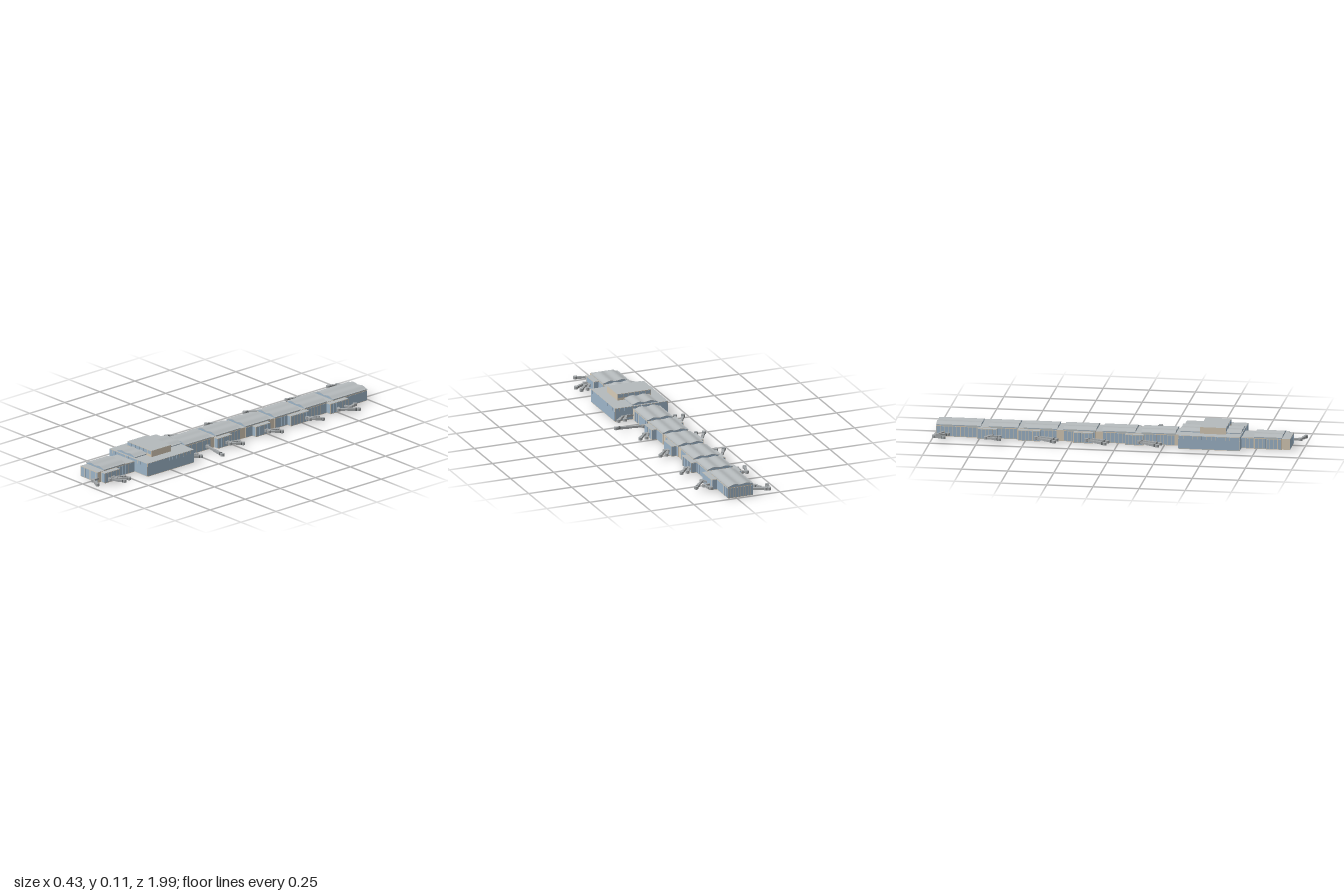
import * as THREE from 'three';

const mat = (name, color) => new THREE.MeshStandardMaterial({ name, color, side: THREE.DoubleSide });

export function createModel() {
  const root = new THREE.Group();
  root.name = 'airportTerminal';
  const wall = mat('beigeWall', 0xd6cab6);
  const glass = mat('blueGlass', 0x9db4c8);
  const roof = mat('greyRoof', 0xb4b9bb);
  const metal = mat('bridgeGrey', 0xa2a6a8);
  const dark = mat('darkGrey', 0x606466);

  const group = (name) => {
    const g = new THREE.Group();
    g.name = name;
    root.add(g);
    return g;
  };
  const add = (parent, name, geo, material, x = 0, y = 0, z = 0) => {
    const m = new THREE.Mesh(geo, material);
    m.name = name;
    m.position.set(x, y, z);
    parent.add(m);
    return m;
  };
  const box = (parent, name, m, x0, x1, y0, y1, z0, z1) =>
    add(parent, name, new THREE.BoxGeometry(x1 - x0, y1 - y0, z1 - z0), m, (x0 + x1) / 2, (y0 + y1) / 2, (z0 + z1) / 2);

  // Four walls and a flat roof, open underneath
  function shell(parent, x0, x1, y0, y1, z0, z1) {
    const geo = new THREE.BoxGeometry(x1 - x0, y1 - y0, z1 - z0);
    geo.clearGroups();
    geo.addGroup(0, 12, 0);
    geo.addGroup(12, 6, 1);
    geo.addGroup(24, 12, 0);
    add(parent, 'walls', geo, [wall, roof], (x0 + x1) / 2, (y0 + y1) / 2, (z0 + z1) / 2);
  }

  // Row of thin window panes; axis is the direction the row runs in
  function panes(parent, axis, a, b, at, y0, y1, pitch, gap) {
    const n = Math.max(1, Math.round((b - a) / pitch)), step = (b - a) / n, t = 0.001;
    for (let i = 0; i < n; i++) {
      const p = a + i * step + gap / 2, q = p + step - gap;
      if (axis === 'x') box(parent, 'window', glass, p, q, y0, y1, at - t, at + t);
      else box(parent, 'window', glass, at - t, at + t, y0, y1, p, q);
    }
  }

  const XL = -0.1, XR = 0.045, H = 0.06;

  // Long concourse
  const concourse = group('concourse');
  shell(concourse, -0.096, 0.042, 0, H, -0.985, 0.93);
  panes(concourse, 'x', -0.094, 0.041, 0.93, 0.003, 0.056, 0.0137, 0.0025);
  panes(concourse, 'x', XL, XR, -0.986, 0.003, 0.057, 0.0145, 0.0025);
  for (const x of [-0.096, 0.042]) panes(concourse, 'z', 0.667, 0.735, x, 0.003, 0.056, 0.02, 0.003);

  // Double-humped roof with glazed ends
  const wave = (x0, x1, y) => Array.from({ length: 29 }, (_, i) => {
    const t = i / 28, rise = 0.0075 * Math.sin(2 * Math.PI * t) ** 2 + 0.005 * Math.sin(Math.PI * t) ** 2;
    return new THREE.Vector2(x0 + (x1 - x0) * t, y + rise);
  });
  const extrude = (points, depth) =>
    new THREE.ExtrudeGeometry(new THREE.Shape(points), { depth, bevelEnabled: false });
  function waveRoof(parent, y, z0, z1) {
    const slab = [...wave(-0.103, 0.048, y + 0.006), ...wave(-0.103, 0.048, y + 0.004).reverse()];
    add(parent, 'waveRoof', extrude(slab, z1 - z0), roof, 0, 0, z0);
    const fill = [new THREE.Vector2(XL, y), ...wave(XL, XR, y + 0.004), new THREE.Vector2(XR, y)];
    add(parent, 'clerestory', extrude(fill, z1 - z0 - 0.004), glass, 0, 0, z0 + 0.002);
  }

  // Concourse modules: window rows along both sides under each wave roof
  [[0.735, 0.888], [0.125, 0.31], [-0.088, 0.092], [-0.298, -0.12], [-0.512, -0.33], [-0.702, -0.542], [-0.987, -0.744]]
    .forEach(([z0, z1]) => {
      const g = group('concourseModule');
      shell(g, XL, XR, 0, H + 0.001, z0 + 0.002, z1 - 0.002);
      for (const x of [XL, XR]) panes(g, 'z', z0 + 0.004, z1 - 0.004, x, 0.003, 0.056, 0.0205, 0.003);
      waveRoof(g, H + 0.001, z0, z1);
    });

  // Central hall
  const hall = group('centralHall');
  const hx0 = -0.162, hx1 = 0.147, hz0 = 0.335, hz1 = 0.667, hh = 0.075;
  shell(hall, hx0, hx1, 0, hh, hz0, hz1);
  for (const [axis, a, b, ats] of [['x', hx0, hx1, [hz0, hz1]], ['z', hz0, hz1, [hx0, hx1]]]) {
    for (const at of ats) {
      panes(hall, axis, a + 0.002, b - 0.002, at, 0.003, 0.055, 1, 0);
      panes(hall, axis, a + 0.002, b - 0.002, at, 0.055, 0.073, 0.026, 0.002);
    }
  }
  waveRoof(hall, hh + 0.003, hz0, hz1);

  // Upper hall box glazed front and back
  const upper = group('upperHall');
  shell(upper, -0.11, 0.087, hh, 0.111, 0.445, 0.585);
  for (const z of [0.445, 0.585]) panes(upper, 'x', -0.108, 0.085, z, 0.089, 0.108, 0.032, 0.003);

  // Gate rooms that the bridges start from
  const gates = {
    left: [[-0.83, -0.7], [-0.55, -0.42], [-0.275, -0.17], [0, 0.1], [0.8, 0.905]],
    right: [[-0.76, -0.655], [-0.54, -0.42], [-0.24, -0.135], [0.04, 0.14]],
  };
  for (const [side, list] of Object.entries(gates)) {
    const [x0, x1, out] = side === 'left' ? [0.042, 0.074, 0.074] : [-0.126, -0.096, -0.126];
    for (const [z0, z1] of list) {
      const g = group(side + 'GateRoom');
      shell(g, x0, x1, 0, 0.058, z0, z1);
      panes(g, 'z', z0 + 0.002, z1 - 0.002, out, 0.003, 0.055, 0.02, 0.003);
      for (const z of [z0, z1]) panes(g, 'x', x0 + 0.003, x1 - 0.002, z, 0.003, 0.055, 0.03, 0);
    }
  }

  // Boarding bridge: link from the building, round joint, telescoping tunnel, cab
  const BY = 0.0235;
  function tunnel(g, name, m, a, b, f0, f1, w, h) {
    const d = b.clone().sub(a), len = d.length() * (f1 - f0), mid = a.clone().addScaledVector(d, (f0 + f1) / 2);
    add(g, name, new THREE.BoxGeometry(w, h, len), m, mid.x, BY, mid.y).rotation.y = Math.atan2(d.x, d.y);
  }
  function bridge(sx, sz, jx, jz, ex, ez) {
    const g = group('boardingBridge');
    const s = new THREE.Vector2(sx, sz), j = new THREE.Vector2(jx, jz), e = new THREE.Vector2(ex, ez);
    tunnel(g, 'link', metal, s, j, 0, 1, 0.011, 0.011);
    add(g, 'rotunda', new THREE.CylinderGeometry(0.011, 0.011, 0.015, 16), metal, j.x, BY, j.y);
    tunnel(g, 'innerTunnel', metal, j, e, 0, 0.6, 0.011, 0.011);
    tunnel(g, 'outerTunnel', metal, j, e, 0.45, 1, 0.014, 0.013);
    tunnel(g, 'collar', dark, j, e, 0.84, 0.92, 0.016, 0.014);
    add(g, 'cab', new THREE.CylinderGeometry(0.011, 0.011, 0.015, 12), metal, e.x, BY, e.y);
  }

  // Matching pairs of bridges at the regular gates
  for (const z of [0.13, -0.155, -0.43]) {
    bridge(-0.11, z, -0.145, z - 0.01, -0.204, z + 0.097);
    bridge(-0.11, z, -0.118, z, -0.161, z + 0.105);
  }
  for (const z of [-0.53, -0.24, 0.038, 0.337, 0.852]) {
    bridge(0.04, z, 0.08, z, 0.11, z - 0.051);
    bridge(0.04, z, 0.102, z, 0.147, z - 0.053);
  }

  // Single bridges at the ends and beside the hall
  bridge(-0.12, -0.68, -0.182, -0.705, -0.2, -0.63);
  bridge(-0.12, -0.67, -0.157, -0.695, -0.155, -0.635);
  bridge(-0.097, -0.945, -0.175, -0.98, -0.14, -0.918);
  bridge(-0.175, -0.98, -0.193, -0.985, -0.205, -0.93);
  bridge(0.07, -0.8, 0.11, -0.81, 0.093, -0.86);
  bridge(0.07, -0.76, 0.095, -0.74, 0.163, -0.825);
  bridge(0.042, 0.155, 0.058, 0.16, 0.205, 0.184);
  bridge(0.07, 0.88, 0.092, 0.885, 0.16, 0.842);
  bridge(0.039, 0.925, 0.045, 0.965, 0.105, 0.987);

  return root;
}
